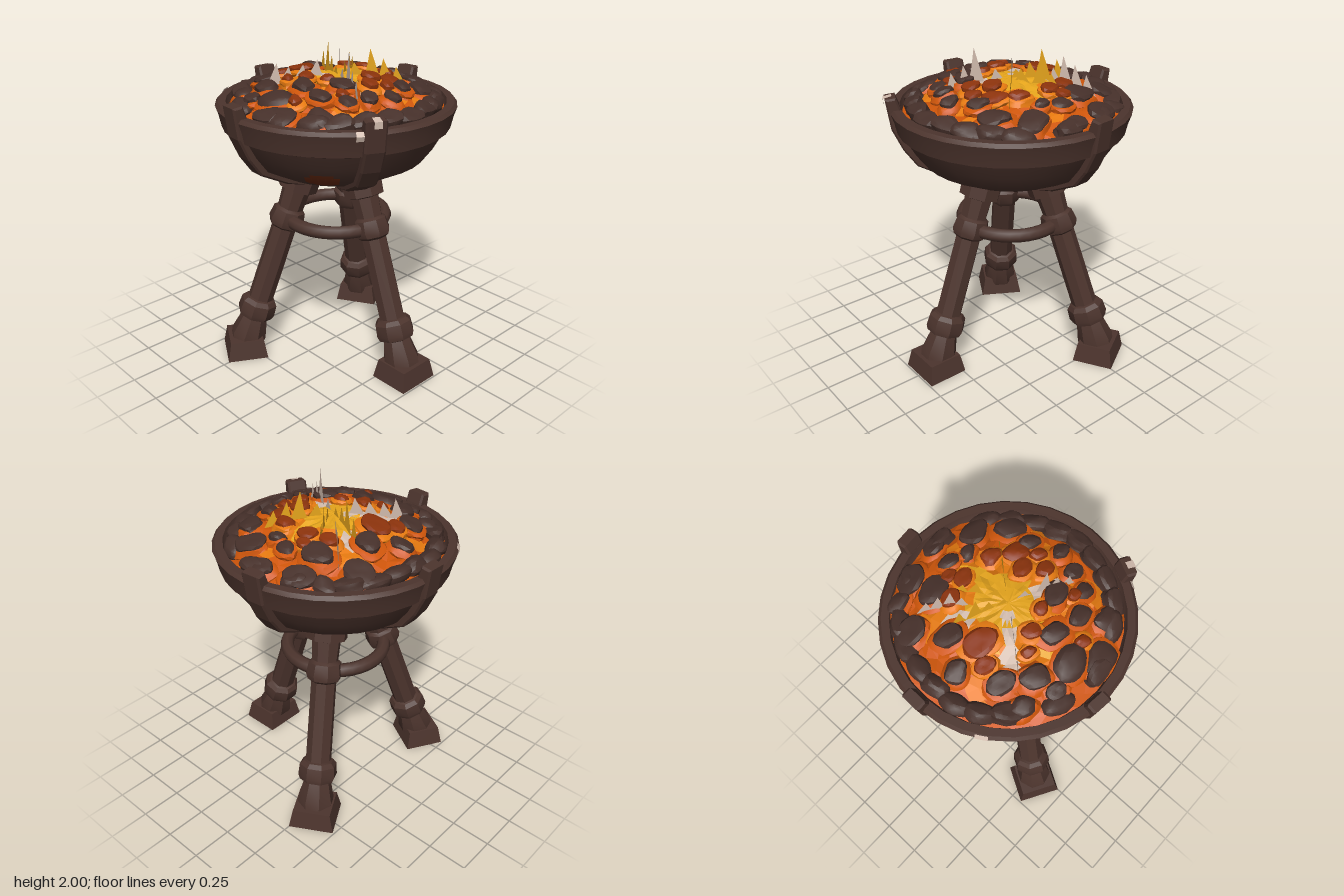
import * as THREE from 'three';
import { toCreasedNormals } from 'three/addons/utils/BufferGeometryUtils.js';

const mat = (name, color, side = THREE.FrontSide) => {
  const m = new THREE.MeshStandardMaterial({ color, side });
  m.name = name;
  return m;
};

export function createModel() {
  const root = new THREE.Group();
  root.name = 'brazier';
  const iron = mat('dark iron', 0x4c342d);
  const coalMat = mat('charcoal', 0x46302a);
  const ember = mat('ember', 0x8c330c);
  const lavaRed = mat('deep orange glow', 0xd0560a, THREE.DoubleSide);
  const lava = mat('orange glow', 0xea7c10, THREE.DoubleSide);
  const hot = mat('yellow glow', 0xe6a51c, THREE.DoubleSide);
  const ash = mat('pale ash', 0xd2bcae, THREE.DoubleSide);
  const scorch = mat('scorched metal', 0x6c2c10, THREE.DoubleSide);

  let seed = 7;
  const rand = () => (seed = (seed * 16807) % 2147483647) / 2147483647;
  const add = (name, geo, material, parent = root) => {
    const m = new THREE.Mesh(geo, material);
    m.name = name;
    parent.add(m);
    return m;
  };
  const v2 = (pts) => pts.map(([a, b]) => new THREE.Vector2(a, b));
  const lathe = (pts, seg, start = 0, len = Math.PI * 2) =>
    toCreasedNormals(new THREE.LatheGeometry(v2(pts), seg, start, len), 0.5);

  // Bowl with thick rim band
  add('bowl', lathe([[0, 1.17], [0.2, 1.18], [0.37, 1.245], [0.54, 1.335], [0.61, 1.43], [0.66, 1.52],
    [0.685, 1.53], [0.7, 1.6], [0.718, 1.655], [0.7, 1.675], [0.655, 1.675], [0.64, 1.62], [0.55, 1.52], [0, 1.45]], 32), iron);

  // Ribs that climb the bowl and hook over the rim
  const ribShape = new THREE.Shape(v2([[0.24, 1.185], [0.4, 1.235], [0.575, 1.325], [0.65, 1.43], [0.71, 1.56], [0.735, 1.73],
    [0.69, 1.735], [0.67, 1.68], [0.62, 1.5], [0.52, 1.37], [0.34, 1.26]]));
  const ribGeo = new THREE.ExtrudeGeometry(ribShape, { depth: 0.1, bevelEnabled: true, bevelSize: 0.01, bevelThickness: 0.012, bevelSegments: 1 });
  ribGeo.translate(-0.005, 0, -0.05);
  for (const [x, z] of [[-0.07, 0.69], [-0.72, -0.02], [-0.06, -0.69], [0.62, 0.31]])
    add('rib', ribGeo, iron).rotation.y = Math.atan2(-z, x);

  // Glowing scorch marks and chipped rim edges
  for (const [a, len, lo, hi] of [[0.5, 0.35, 1.295, 1.37], [0.56, 0.23, 1.275, 1.39], [-1.35, 0.25, 1.35, 1.42]]) {
    const r = (y) => (y < 1.335 ? 0.37 + (y - 1.245) * 1.89 : 0.54 + (y - 1.335) * 0.737) + 0.005;
    add('scorchMark', lathe([[r(lo), lo], [r(1.335 + (lo > 1.335 ? 0.05 : 0)), 1.335 + (lo > 1.335 ? 0.05 : 0)], [r(hi), hi]], 5, a, len), scorch);
  }
  for (const a of [-1.08, 0.96])
    add('rimChip', lathe([[0.71, 1.625], [0.722, 1.655], [0.705, 1.678]], 3, a, 0.1), ash);
  add('ribTipChip', lathe([[0.748, 1.7], [0.749, 1.738], [0.7, 1.75]], 2, 1.08, 0.06), ash);

  // Three splayed legs with collars and blocky feet
  const legGeo = new THREE.LatheGeometry(v2([[0.1, 0.04], [0.115, 0.13], [0.085, 0.26], [0.11, 0.27], [0.122, 0.3],
    [0.117, 0.37], [0.095, 0.395], [0.08, 0.4], [0.078, 0.91], [0.1, 0.925], [0.112, 0.96], [0.1, 1.03], [0.08, 1.045], [0.088, 1.17],
    [0.125, 1.18], [0.13, 1.28], [0.11, 1.3], [0, 1.3]]), 8, Math.PI / 8);
  legGeo.rotateZ(Math.atan2(0.41, 1.2));
  legGeo.translate(0.63, 0, 0);
  const leg = toCreasedNormals(legGeo, 0.5);
  const footGeo = new THREE.CylinderGeometry(0.15, 0.18, 0.12, 4, 1);
  footGeo.rotateY(Math.PI / 4);
  footGeo.scale(1, 1, 1.1);
  footGeo.translate(0.613, 0.06, 0);
  const foot = toCreasedNormals(footGeo, 0.5);
  for (let i = 0; i < 3; i++) {
    const g = new THREE.Group();
    g.name = 'leg';
    g.rotation.y = (i * Math.PI * 2) / 3;
    add('legPost', leg, iron, g);
    add('foot', foot, iron, g);
    root.add(g);
  }

  // Ring that braces the legs
  const ring = add('braceRing', new THREE.TorusGeometry(0.305, 0.042, 8, 36), iron);
  ring.rotation.x = Math.PI / 2;
  ring.position.y = 0.92;

  // Glowing bed: a mound whose facets are sorted by heat
  const bedY = (x, z) => 1.81 - 0.45 * (x * x + z * z);
  const beds = new Map([[lavaRed, []], [lava, []], [hot, []], [ash, []]]);
  const ashSpots = [[-0.25, -0.14, 0.08], [-0.06, 0.05, 0.04], [-0.13, 0.13, 0.05], [-0.22, 0.22, 0.07], [0.17, 0.07, 0.045], [0.27, 0.11, 0.06]];
  const R = 14, S = 32, grid = [];
  for (let i = 0; i <= R; i++) {
    grid.push([]);
    for (let j = 0; j < S; j++) {
      const r = (i / R) * 0.655, a = ((j + (i % 2) / 2) / S) * Math.PI * 2;
      const x = r * Math.sin(a), z = r * Math.cos(a);
      grid[i].push([x, bedY(x, z) + (rand() - 0.5) * 0.03 * Math.min(1, i / 6), z]);
    }
  }
  const facet = (...p) => {
    const x = (p[0][0] + p[1][0] + p[2][0]) / 3, z = (p[0][2] + p[1][2] + p[2][2]) / 3;
    const a = Math.atan2(z, x), r = Math.hypot(x, z) * (1 + 0.3 * Math.sin(a * 6 + 1)) + (rand() - 0.5) * 0.1;
    let m = r < 0.23 ? hot : r < 0.4 ? lava : lavaRed;
    if (ashSpots.some(([sx, sz, sr]) => Math.hypot(x - sx, z - sz) < sr)) m = ash;
    beds.get(m).push(...p.flat());
  };
  for (let i = 0; i < R; i++)
    for (let j = 0; j < S; j++) {
      const k = (j + 1) % S, A = grid[i], B = grid[i + 1];
      if (i % 2) {
        facet(A[j], B[k], A[k]);
        facet(A[j], B[j], B[k]);
      } else {
        if (i) facet(A[j], B[j], A[k]);
        facet(A[k], B[j], B[k]);
      }
    }
  for (const [m, pos] of beds) {
    const g = new THREE.BufferGeometry();
    g.setAttribute('position', new THREE.Float32BufferAttribute(pos, 3));
    g.computeVertexNormals();
    add('glowingBed', g, m);
  }

  // Lumps: boxy jittered blobs laid on the mound
  const lump = (name, x, z, w, d, h, material, lift = 0.01, yaw = (rand() - 0.5) * 0.9) => {
    const g = new THREE.IcosahedronGeometry(1, 2), p = g.attributes.position, v = new THREE.Vector3(), s = rand() * 50;
    for (let i = 0; i < p.count; i++) {
      v.fromBufferAttribute(p, i);
      const n = (Math.abs(v.x) ** 3 + Math.abs(v.y) ** 3 + Math.abs(v.z) ** 3) ** (-1 / 3);
      v.multiplyScalar(n * (0.95 + 0.12 * Math.sin(v.x * 3 + s) * Math.sin(v.z * 4 - s) + 0.08 * Math.sin(v.y * 5 + s)));
      p.setXYZ(i, v.x * w, v.y * h, v.z * d);
    }
    const m = add(name, toCreasedNormals(g, 0.45), material);
    m.position.set(x, bedY(x, z) + lift, z);
    m.rotation.set(z * 0.7, yaw, -x * 0.7);
  };

  // Charred lumps, each nested in a glowing underside
  const glowLump = (name, x, z, s, h, material, under) => {
    const yaw = (rand() - 0.5) * 0.9, d = s * (0.7 + rand() * 0.12);
    lump(name, x, z, s, d, h, material, 0.014, yaw);
    lump('glowingUnderside', x, z, s * 1.12 + 0.012, d * 1.12 + 0.012, h * 0.8, under, 0, yaw);
  };
  const coals = [[0.01, -0.57, 0.07], [-0.22, -0.52, 0.1], [-0.02, -0.42, 0.065], [0.22, -0.46, 0.1], [-0.2, -0.36, 0.1], [0.09, -0.38, 0.055],
    [0.37, -0.32, 0.1], [0.36, -0.17, 0.07], [0.44, -0.01, 0.06], [-0.34, -0.11, 0.09], [-0.45, 0.04, 0.07], [-0.44, -0.3, 0.1],
    [-0.34, 0.26, 0.085], [0.21, 0.15, 0.085], [0.34, 0.24, 0.06], [0.04, 0.29, 0.09], [0.21, 0.32, 0.08], [-0.2, 0.37, 0.09],
    [-0.01, 0.45, 0.11], [0.33, 0.43, 0.085], [0.13, 0.55, 0.1], [-0.17, 0.49, 0.06], [0.39, 0.12, 0.06], [-0.36, -0.48, 0.08],
    [-0.35, 0.42, 0.07]];
  for (const [x, z, s] of coals) glowLump('coal', x, z, s, 0.046, coalMat, lavaRed);

  // Packed coals against the rim, with gaps where the glow shows
  for (let i = 0; i < 26; i++) {
    const a = (i / 26) * Math.PI * 2, r = 0.565 + rand() * 0.03;
    if (Math.abs(Math.sin(a)) > 0.75 && i % 2) continue;
    lump('rimCoal', r * Math.cos(a), r * Math.sin(a), 0.06, 0.09, 0.05, coalMat, 0.01, -a);
  }

  // Half burnt lumps near the heat
  const embers = [[-0.26, 0.04, 0.1], [-0.18, -0.25, 0.06], [-0.05, -0.28, 0.06], [0.26, -0.18, 0.075], [0.2, -0.08, 0.065], [0.15, -0.26, 0.07],
    [-0.04, 0.2, 0.06], [-0.13, 0.26, 0.05], [0.33, -0.08, 0.055], [0.09, 0.15, 0.05], [0.28, 0.01, 0.06], [-0.33, 0.14, 0.06], [0.12, 0.42, 0.05],
    [-0.09, -0.35, 0.05], [0.28, 0.22, 0.045]];
  for (const [x, z, s] of embers) glowLump('emberLump', x, z, s, 0.042, ember, lava);

  // Flames: jagged upright sheets; peaks are [fraction along, tip height]
  const flame = (x0, z0, x1, z1, material, peaks) => {
    const L = Math.hypot(x1 - x0, z1 - z0), pos = [];
    const at = (t, y) => pos.push(x0 + (x1 - x0) * t, y, z0 + (z1 - z0) * t);
    for (const [t, y] of peaks) {
      const w = 0.055 / L, base = bedY(x0 + (x1 - x0) * t, z0 + (z1 - z0) * t) - 0.02;
      const mid = base + (y - base) * 0.4;
      at(t - w, base); at(t + w, base); at(t - w * 0.55, mid);
      at(t + w, base); at(t + w * 0.5, mid); at(t - w * 0.55, mid);
      at(t - w * 0.55, mid); at(t + w * 0.5, mid); at(t + w * 0.15, y);
    }
    const g = new THREE.BufferGeometry();
    g.setAttribute('position', new THREE.Float32BufferAttribute(pos, 3));
    g.computeVertexNormals();
    add('flame', g, material);
  };
  flame(-0.34, -0.35, -0.02, -0.04, ash, [[0.1, 1.84], [0.25, 1.9], [0.4, 1.95], [0.53, 1.88]]);
  flame(-0.14, -0.29, 0.02, -0.03, hot, [[0.2, 1.87], [0.45, 1.92], [0.8, 1.88]]);
  flame(0.27, -0.32, 0.02, -0.03, hot, [[0.15, 1.85], [0.35, 1.9], [0.55, 1.96], [0.8, 1.88]]);
  flame(-0.28, -0.14, 0.02, 0, hot, [[0.1, 1.9], [0.38, 1.97], [0.6, 1.9], [0.85, 1.86]]);
  flame(0.02, 0, 0.34, 0.16, ash, [[0.2, 1.87], [0.54, 2], [0.72, 1.9], [0.92, 1.86]]);
  flame(-0.25, 0.3, 0.02, -0.02, ash, [[0.08, 1.88], [0.25, 1.86], [0.45, 1.87], [0.65, 1.9]]);
  return root;
}
